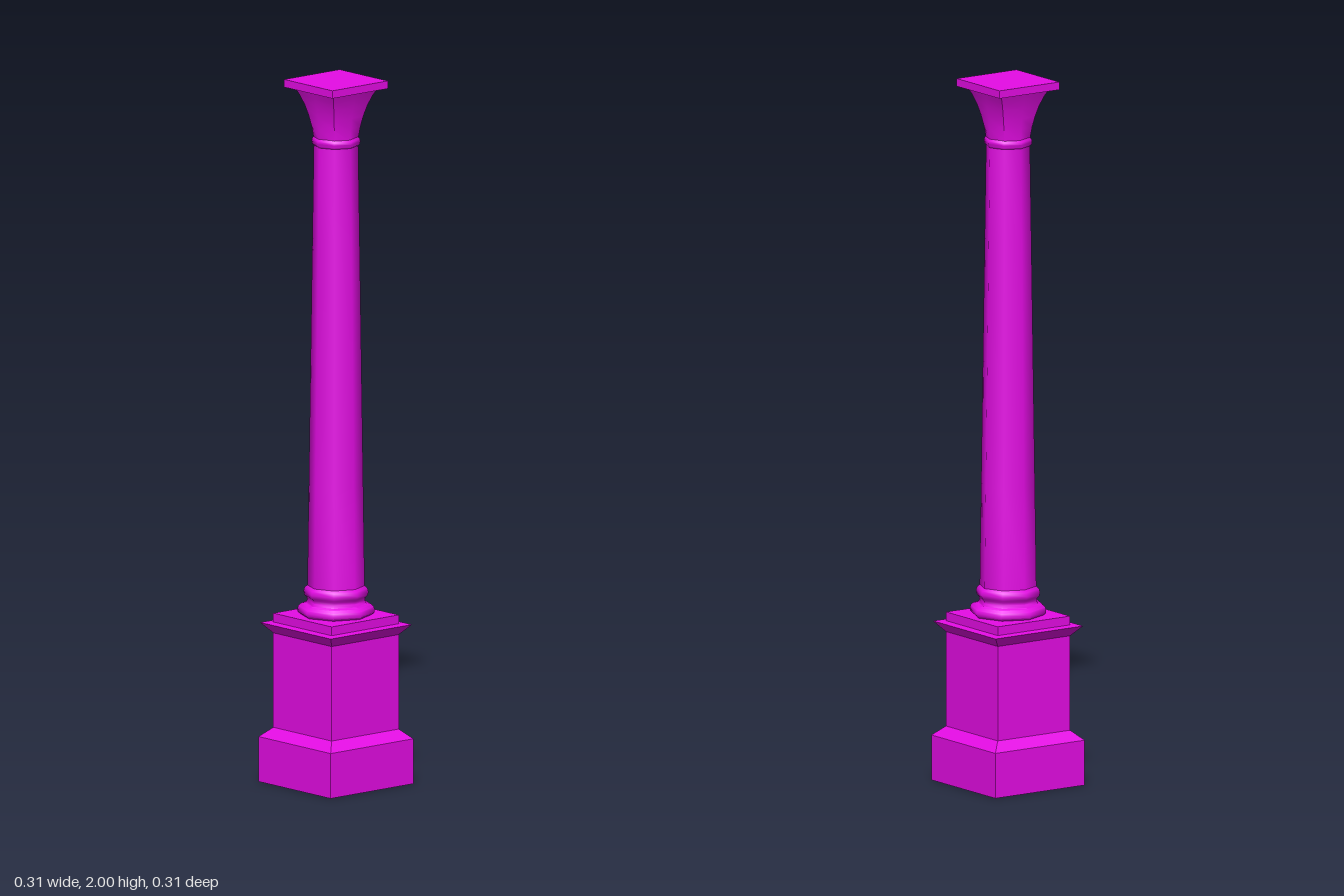
import * as THREE from 'three';
import { toCreasedNormals } from 'three/addons/utils/BufferGeometryUtils.js';

const smooth = new THREE.MeshStandardMaterial({ color: 0xe60ce6, side: THREE.DoubleSide });
const flat = new THREE.MeshStandardMaterial({ color: 0xe60ce6, side: THREE.DoubleSide, flatShading: true });

const toPoints = (profile) => profile.map(([r, y]) => new THREE.Vector2(r, y));

// Square tier: profile of [half width, height]
function squareTier(name, profile) {
  const g = new THREE.LatheGeometry(toPoints(profile.map(([h, y]) => [h * Math.SQRT2, y])), 4);
  g.rotateY(Math.PI / 4);
  const mesh = new THREE.Mesh(g, flat);
  mesh.name = name;
  return mesh;
}

// Eight-sided turned part with softened faces; reshape can move vertices
function turned(name, profile, reshape) {
  const g = new THREE.LatheGeometry(toPoints(profile), 8);
  if (reshape) reshape(g.attributes.position);
  const mesh = new THREE.Mesh(toCreasedNormals(g, 0.95), smooth);
  mesh.name = name;
  return mesh;
}

export function createModel() {
  const column = new THREE.Group();
  column.name = 'column';

  // Hollow pedestal, open underneath, with sloped foot and cornice
  column.add(squareTier('pedestal', [
    [0.153, 0], [0.153, 0.128], [0.124, 0.155], [0.124, 0.424], [0.15, 0.453], [0.124, 0.455],
  ]));
  column.add(squareTier('plinth', [[0.124, 0.455], [0.124, 0.48], [0, 0.48]]));

  // Two rounded rings with a hollow between them
  column.add(turned('baseMoulding', [
    [0.1, 0.48], [0.107, 0.486], [0.108, 0.494], [0.106, 0.502], [0.1, 0.509],
    [0.085, 0.512], [0.081, 0.52], [0.082, 0.528], [0.088, 0.534], [0.091, 0.544],
    [0.088, 0.555], [0.08, 0.562],
  ]));

  column.add(turned('shaft', [[0.08, 0.56], [0.076, 0.85], [0.071, 1.2], [0.066, 1.55], [0.062, 1.82]]));

  column.add(turned('neckRing', [
    [0.062, 1.815], [0.067, 1.82], [0.068, 1.827], [0.067, 1.834], [0.062, 1.84],
  ]));

  // Flared capital that turns from octagon to square towards the top
  const y0 = 1.835, y1 = 1.98;
  column.add(turned('capital', [
    [0.062, y0], [0.063, 1.87], [0.066, 1.9], [0.071, 1.93], [0.078, 1.957], [0.086, y1],
  ], (p) => {
    for (let i = 0; i < p.count; i++) {
      const x = p.getX(i), z = p.getZ(i);
      if (Math.min(Math.abs(x), Math.abs(z)) < 0.01) continue;
      const k = 1 + 0.36 * (p.getY(i) - y0) / (y1 - y0);
      p.setXYZ(i, x * k, p.getY(i), z * k);
    }
  }));

  // Square top slab
  const abacus = new THREE.Mesh(new THREE.BoxGeometry(0.205, 0.022, 0.205), flat);
  abacus.name = 'abacus';
  abacus.position.y = 1.989;
  column.add(abacus);

  return column;
}
